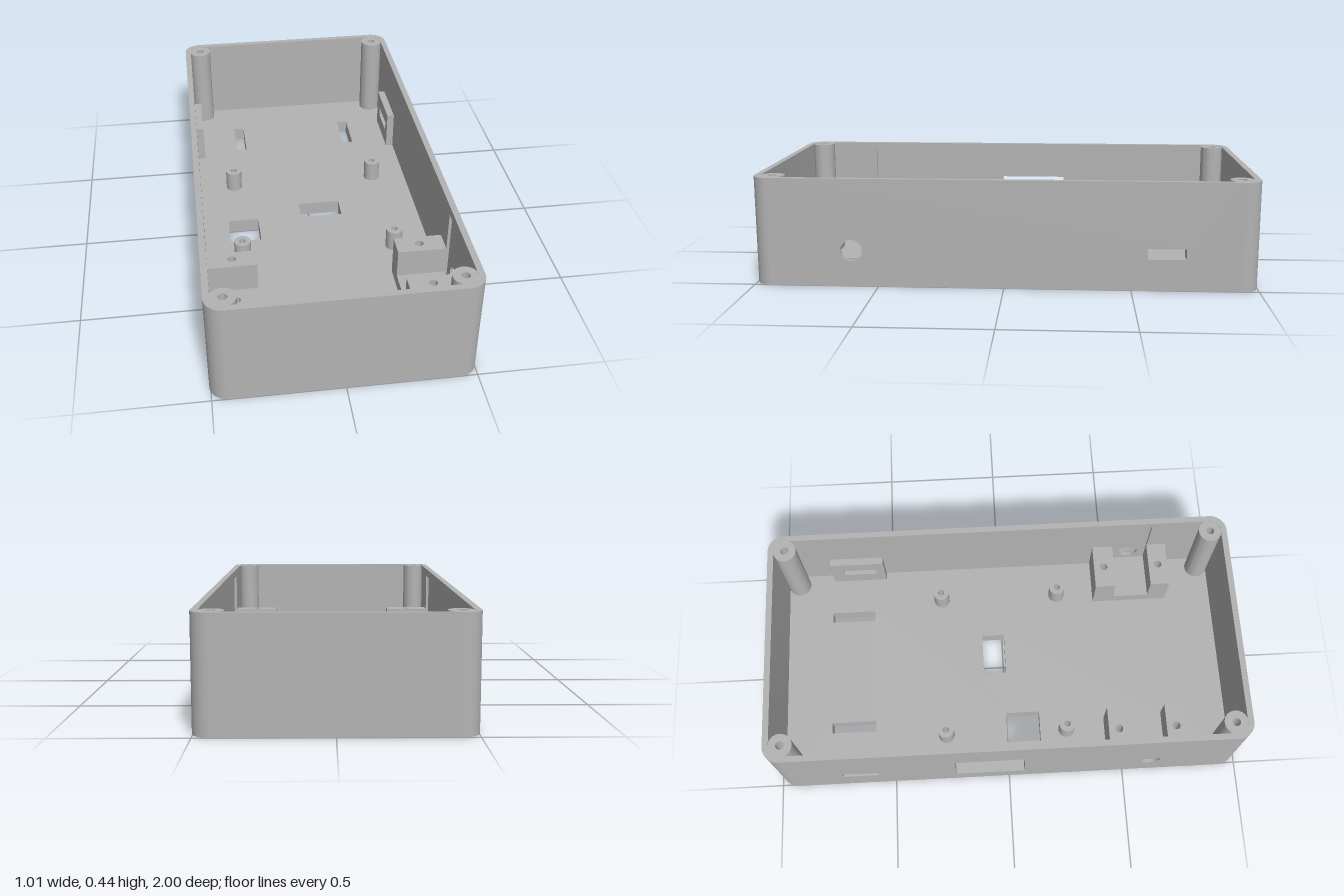
import * as THREE from 'three';
import { toCreasedNormals } from 'three/addons/utils/BufferGeometryUtils.js';

const W = 0.505, L = 1, H = 0.435;      // half width, half length, height
const T = 0.025, R = 0.07, FLOOR = 0.06; // wall, corner radius, floor thickness

// Rectangle and circle outlines, usable as shapes or holes
const rect = (x0, x1, y0, y1) => new THREE.Shape([[x0, y0], [x1, y0], [x1, y1], [x0, y1]].map(p => new THREE.Vector2(...p)));
const circle = (x, y, r) => new THREE.Shape().absarc(x, y, r, 0, Math.PI * 2, false);

function extrude(shape, holes, depth) {
  shape.holes.push(...holes);
  const g = new THREE.ExtrudeGeometry(shape, { depth, bevelEnabled: false, curveSegments: 20 });
  return toCreasedNormals(g, 0.6);
}

export function createModel() {
  const group = new THREE.Group();
  const grey = new THREE.MeshStandardMaterial({ color: 0xb3b3b3 });
  grey.name = 'plastic grey';

  const add = (name, geometry) => {
    const mesh = new THREE.Mesh(geometry, grey);
    mesh.name = name;
    group.add(mesh);
    return mesh;
  };
  // Plan outline drawn in (x, -z), raised from y0 to y1
  const raise = (name, shape, holes, y0, y1) =>
    add(name, extrude(shape, holes, y1 - y0).rotateX(-Math.PI / 2).translate(0, y0, 0));
  // Side outline drawn in (z, y), spanning x0 to x1
  const across = (name, shape, holes, x0, x1) =>
    add(name, extrude(shape, holes, x1 - x0).rotateY(-Math.PI / 2).translate(x1, 0, 0));
  const planRect = (x0, x1, z0, z1) => rect(x0, x1, -z1, -z0);

  // Floor with its cutouts
  const iw = W - T, il = L - T, ir = R - T;
  const floor = new THREE.Shape();
  floor.absarc(iw - ir, il - ir, ir, 0, Math.PI / 2, false);
  floor.absarc(-iw + ir, il - ir, ir, Math.PI / 2, Math.PI, false);
  floor.absarc(-iw + ir, -il + ir, ir, Math.PI, Math.PI * 1.5, false);
  floor.absarc(iw - ir, -il + ir, ir, Math.PI * 1.5, Math.PI * 2, false);
  raise('floor', floor, [
    planRect(-0.29, -0.243, -0.775, -0.58),
    planRect(0.24, 0.287, -0.775, -0.58),
    planRect(-0.045, 0.138, -0.09, 0.01),
    planRect(-0.37, -0.237, 0, 0.147),
  ], 0, FLOOR);

  // End walls with rounded corners
  for (const s of [1, -1]) {
    const cx = W - R, cy = L - R;
    const end = new THREE.Shape();
    end.moveTo(W, cy);
    end.absarc(cx, cy, R, 0, Math.PI / 2, false);
    end.absarc(-cx, cy, R, Math.PI / 2, Math.PI, false);
    end.lineTo(-iw, cy);
    end.absarc(-cx, cy, ir, Math.PI, Math.PI / 2, true);
    end.absarc(cx, cy, ir, Math.PI / 2, 0, true);
    const wall = raise(s > 0 ? 'backWall' : 'frontWall', end, [], 0, H);
    if (s < 0) wall.rotation.y = Math.PI;
  }

  for (const s of [1, -1]) {
    const side = s > 0 ? 'left' : 'right';
    const span = (name, shape, holes, a, b) =>
      across(side + name, shape, holes, Math.min(s * a, s * b), Math.max(s * a, s * b));
    const slot = () => rect(-0.713, -0.563, 0.127, 0.169);
    const openings = () => s < 0 ? [slot(), rect(-0.23, 0.065, 0.075, 0.275)] : [slot()];
    const wall = () => rect(-L + R, L - R, 0, H);

    // Side wall: outer skin with round port, inner skin with shallow recess
    span('WallOuter', wall(), [...openings(), circle(0.605, 0.147, 0.043)], W - 0.013, W);
    span('WallInner', wall(), [...openings(), rect(0.523, 0.683, FLOOR, 0.4)], iw, W - 0.013);

    // Slotted backing plate behind the side slot
    span('SlotPlate', rect(-0.765, -0.525, FLOOR, 0.23), [slot()], 0.448, iw);

    // Saddle block: base and two drilled uprights
    span('SaddleBase', rect(0.432, 0.765, FLOOR, 0.11), [], 0.283, iw);
    for (const [z0, z1, zh] of [[0.432, 0.523, 0.476], [0.68, 0.765, 0.722]]) {
      const x = [s * 0.283, s * iw].sort((a, b) => a - b);
      raise(side + 'SaddleUpright', planRect(x[0], x[1], z0, z1), [circle(s * 0.38, -zh, 0.017)], 0.11, 0.23);
    }

    // Corner screw posts
    for (const z of [0.928, -0.928])
      raise(side + 'CornerPost', circle(s * 0.434, -z, 0.049), [circle(s * 0.434, -z, 0.017)], FLOOR, H - 0.001);

    // Board standoffs
    for (const z of [0.263, -0.268])
      raise(side + 'Standoff', circle(s * 0.325, -z, 0.035), [circle(s * 0.325, -z, 0.014)], FLOOR, 0.15);
  }
  return group;
}
